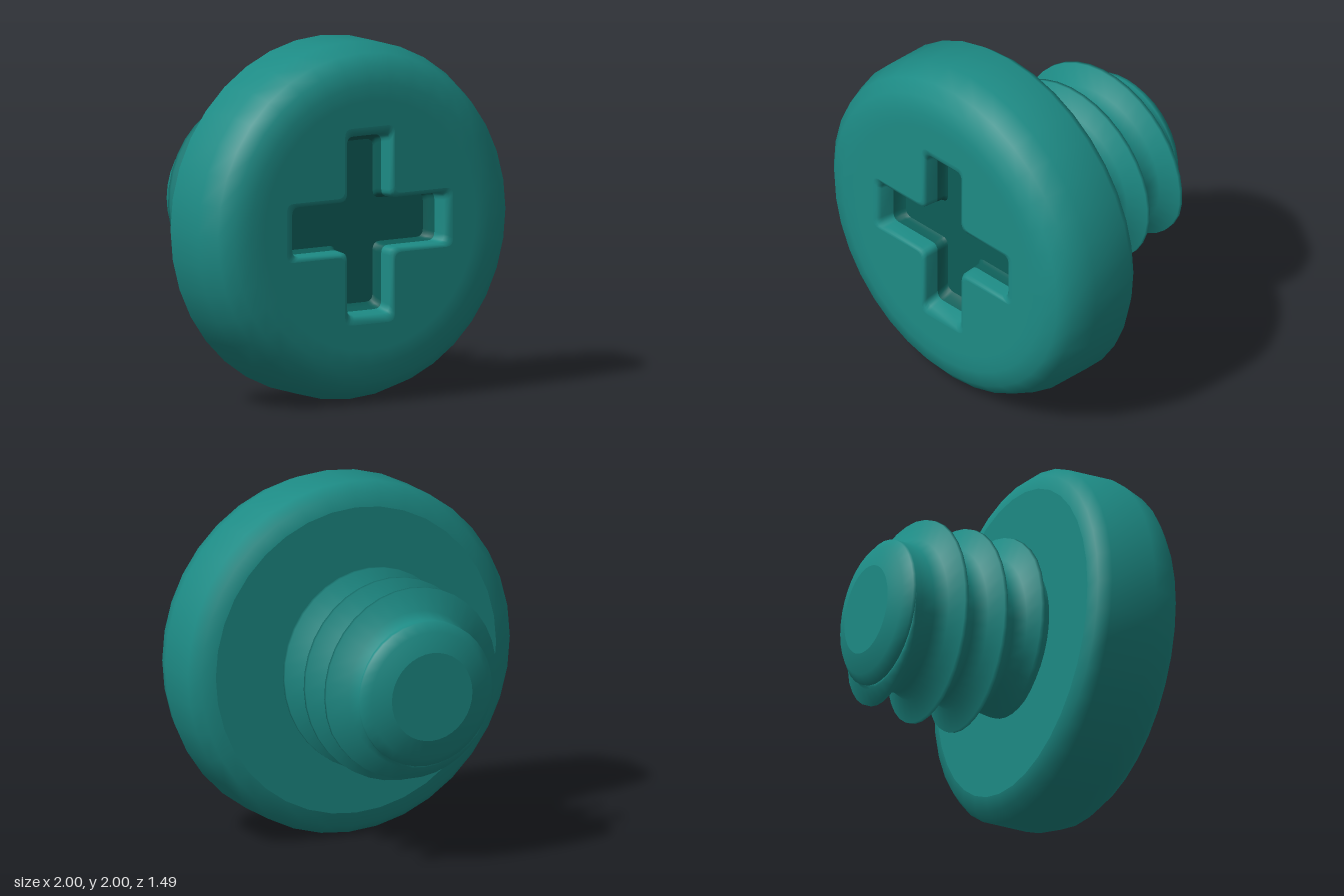
import * as THREE from 'three';
import { mergeVertices } from 'three/addons/utils/BufferGeometryUtils.js';

const SEGMENTS = 36;
const { clamp, smoothstep } = THREE.MathUtils;

// Surface of revolution about z; points are [radius, z] with z ascending
function revolve(points) {
  return new THREE.LatheGeometry(points.map(p => new THREE.Vector2(...p)), SEGMENTS).rotateX(Math.PI / 2);
}

// Smooth surface through a grid of points: rows x columns
function gridSurface(rows) {
  const n = rows[0].length, index = [];
  for (let i = 0; i < rows.length - 1; i++) {
    for (let j = 0; j < n - 1; j++) {
      const a = i * n + j, b = a + n;
      index.push(a, b, a + 1, b, b + 1, a + 1);
    }
  }
  let geometry = new THREE.BufferGeometry();
  geometry.setAttribute('position', new THREE.Float32BufferAttribute(rows.flat(2), 3));
  geometry.setIndex(index);
  geometry = mergeVertices(geometry, 1e-4);
  geometry.computeVertexNormals();
  return geometry;
}

// Plus-shaped outline with rounded corners, counter-clockwise
function crossOutline(length, width, radius = 0.045) {
  const corners = [];
  for (let q = 0; q < 4; q++) {
    for (const [x, y] of [[length, -width], [length, width], [width, width]]) {
      corners.push(new THREE.Vector2(x, y).rotateAround(new THREE.Vector2(), q * Math.PI / 2));
    }
  }
  return corners.flatMap((c, i) => {
    const toward = p => c.clone().add(p.clone().sub(c).setLength(radius));
    const before = toward(corners[(i + 11) % 12]), after = toward(corners[(i + 1) % 12]);
    return new THREE.QuadraticBezierCurve(before, c, after).getPoints(4);
  });
}

// Inward-facing cross-shaped wall through loops of [arm length, half width, z], front to back
function crossWall(loops) {
  const outlines = loops.map(([length, width]) => crossOutline(length, width));
  const columns = outlines[0].length;
  return gridSurface(Array.from({ length: columns + 1 }, (_, i) =>
    outlines.map((outline, k) => [...outline[i % columns].toArray(), loops[k][2]])));
}

// Threaded shank: one pitch of thread profile swept along a helix, clamped to the shank ends
function threadedShank(back, front) {
  const pitch = 0.248;
  const profile = [[-pitch / 2, 0], [-0.05, 0.03], [-0.011, 0.15], [0.011, 0.15], [0.05, 0.03], [pitch / 2, 0]];
  const rows = [];
  for (let i = -4 * SEGMENTS; i <= 2 * SEGMENTS; i++) {
    const a = i / SEGMENTS * Math.PI * 2, turns = a / Math.PI;
    const fade = Math.min(clamp((1.6 - turns) / 0.75, 0, 1), clamp((turns + 4.9) / 0.8, 0, 1));
    rows.push(profile.map(([u, height]) => {
      const z = clamp(-0.046 + pitch * i / SEGMENTS + u, back, front);
      const r = 0.41 + 0.018 * smoothstep(z, 0.04, 0.15) + fade * height;
      return [r * Math.cos(a), r * Math.sin(a), z];
    }));
  }
  return gridSurface(rows);
}

export function createModel() {
  const model = new THREE.Group();
  model.name = 'screw';
  const teal = new THREE.MeshStandardMaterial({ color: 0x1d8b85 });
  teal.name = 'teal';
  const darkTeal = new THREE.MeshStandardMaterial({ color: 0x0d5e58 });
  darkTeal.name = 'darkTeal';
  const add = (name, geometry, material = teal) => {
    const mesh = new THREE.Mesh(geometry, material);
    mesh.name = name;
    mesh.position.y = 1;
    model.add(mesh);
  };

  // Head: rounded rim, flat back and a front face pierced by the slot
  const faceRadius = 0.7, faceZ = 0.745, headBack = 0.173;
  add('headRim', revolve([[0.87, headBack], [0.95, 0.197], [1, 0.26], [1, 0.53], [0.952, 0.66],
    [0.885, 0.72], [0.79, faceZ], [faceRadius, faceZ]]));
  add('headBack', revolve([[0, headBack], [0.87, headBack]]));

  // Slot: soft lip and upper walls, then a darker recess with its floor
  const lip = [0.55, 0.165, faceZ], ledge = [0.488, 0.136, 0.65], floor = [0.455, 0.122, 0.585];
  const face = new THREE.Shape(Array.from({ length: SEGMENTS }, (_, i) => {
    const a = i / SEGMENTS * Math.PI * 2;
    return new THREE.Vector2(faceRadius * Math.cos(a), faceRadius * Math.sin(a));
  }));
  face.holes.push(new THREE.Path(crossOutline(lip[0], lip[1])));
  add('headFace', new THREE.ShapeGeometry(face).translate(0, 0, faceZ));
  add('slotWalls', crossWall([lip, [0.525, 0.15, 0.743], [0.503, 0.14, 0.725], ledge]));
  add('recessWalls', crossWall([ledge, [0.475, 0.132, 0.605], floor]), darkTeal);
  const floorShape = new THREE.Shape(crossOutline(floor[0], floor[1]));
  add('recessFloor', new THREE.ShapeGeometry(floorShape).translate(0, 0, floor[2]), darkTeal);

  // Shank with its thread, bevelled tip and flat end
  add('threadedShank', threadedShank(-0.65, headBack));
  add('tipBevel', revolve([[0.25, -0.745], [0.36, -0.712], [0.41, -0.67], [0.41, -0.65]]));
  add('tipEnd', revolve([[0, -0.745], [0.25, -0.745]]));
  return model;
}
